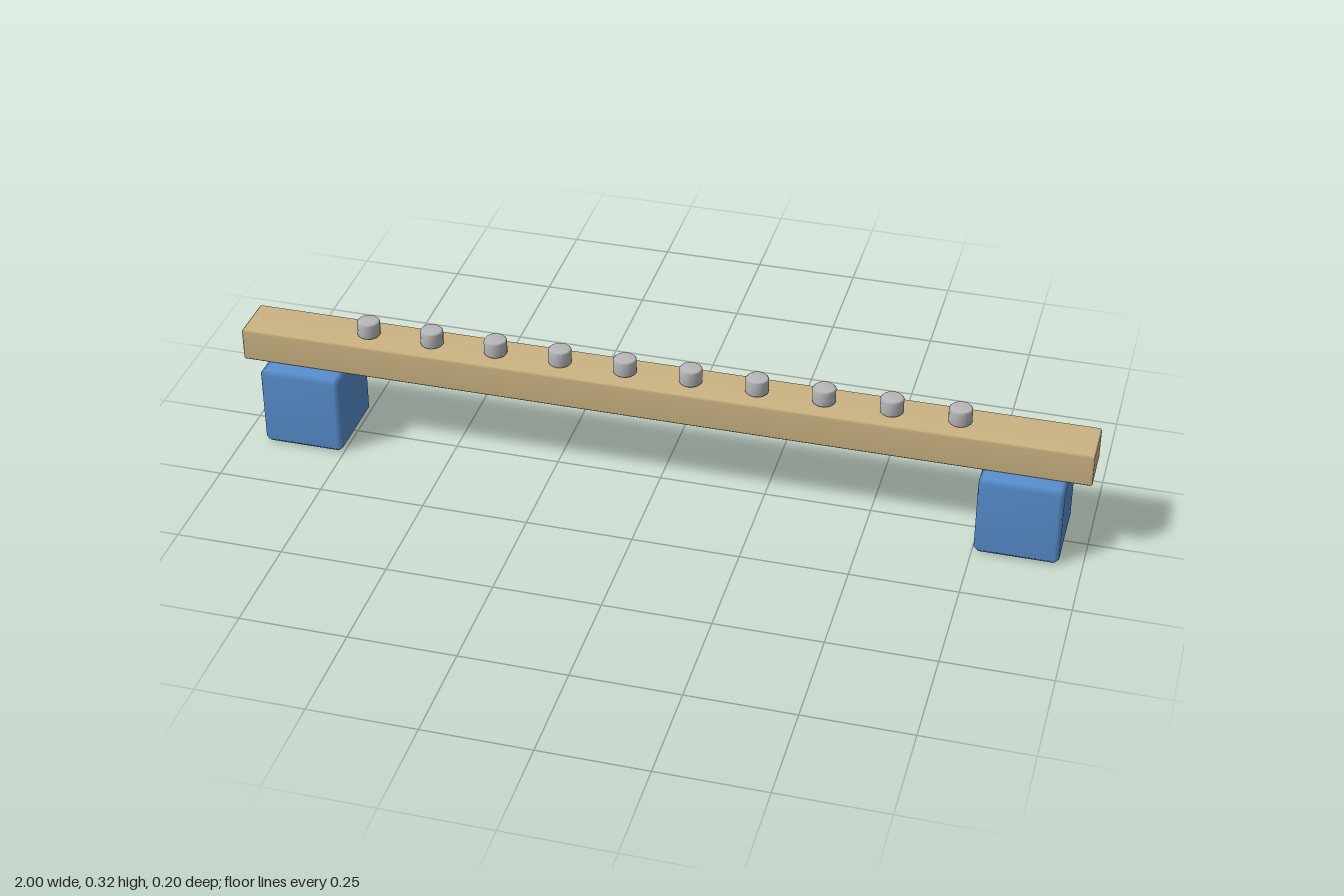
import * as THREE from 'three';
import { mergeVertices } from 'three/addons/utils/BufferGeometryUtils.js';
import { ConvexGeometry } from 'three/addons/geometries/ConvexGeometry.js';

const mat = (name, color) => {
  const m = new THREE.MeshStandardMaterial({ color });
  m.name = name;
  return m;
};

// Box with chamfered edges and softly blended normals
function chamferBox(w, h, d, c) {
  const points = [];
  for (const x of [-w / 2, w / 2]) for (const y of [-h / 2, h / 2]) for (const z of [-d / 2, d / 2]) {
    const ix = x - Math.sign(x) * c, iy = y - Math.sign(y) * c, iz = z - Math.sign(z) * c;
    points.push(new THREE.Vector3(x, iy, iz), new THREE.Vector3(ix, y, iz), new THREE.Vector3(ix, iy, z));
  }
  let geometry = new ConvexGeometry(points);
  geometry.deleteAttribute('normal');
  geometry = mergeVertices(geometry, 1e-5);
  geometry.computeVertexNormals();
  return geometry;
}

export function createModel() {
  const model = new THREE.Group();
  const wood = mat('wood', 0xccb483);
  const blue = mat('blue', 0x588fcf);
  const metal = mat('metal', 0xb8b8ba);

  const add = (name, geometry, material, x, y) => {
    const mesh = new THREE.Mesh(geometry, material);
    mesh.name = name;
    mesh.position.set(x, y, 0);
    model.add(mesh);
  };

  // Long beam
  add('beam', chamferBox(2, 0.08, 0.12, 0.004), wood, 0, 0.24);

  // Two block feet
  const foot = chamferBox(0.193, 0.2, 0.2, 0.011);
  add('rightFoot', foot, blue, -0.85, 0.1);
  add('leftFoot', foot, blue, 0.85, 0.1);

  // Row of ten round studs with bevelled rims
  const profile = [[0, 0], [0.023, 0], [0.027, 0.004], [0.027, 0.036], [0.023, 0.04], [0, 0.04]];
  const stud = new THREE.LatheGeometry(profile.map(([r, y]) => new THREE.Vector2(r, y)), 16);
  for (let i = 0; i < 10; i++) add('stud' + (i + 1), stud, metal, -0.704 + i * 0.155, 0.28);

  return model;
}
